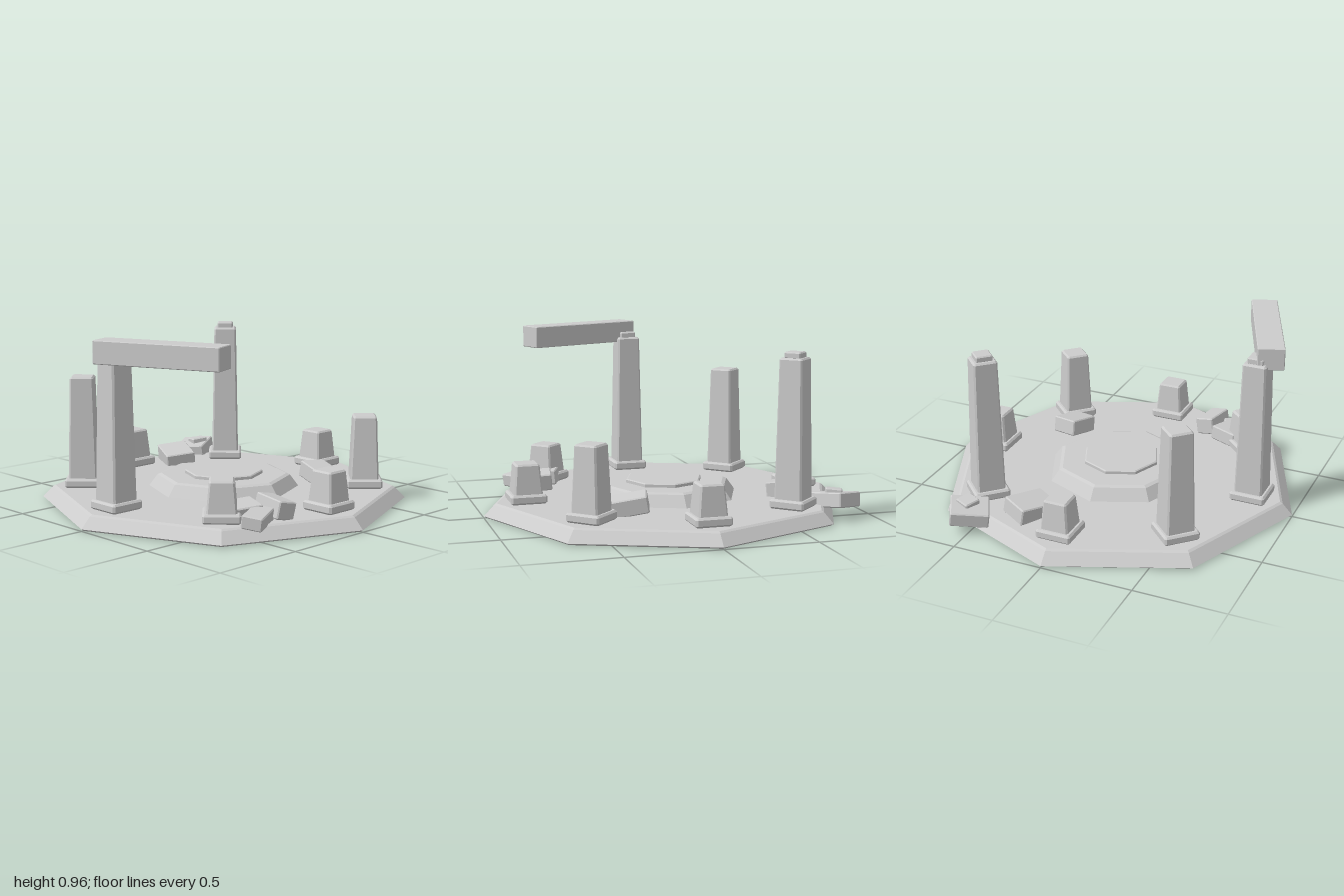
import * as THREE from 'three';

const stone = new THREE.MeshStandardMaterial({ color: 0xcccccc });
stone.name = 'grey stone';

// Skins a stack of rings (counter-clockwise from above, lowest first) and caps both ends
function loft(rings) {
  const out = [];
  const n = rings[0].length;
  const tri = (a, b, c) => out.push(...a, ...b, ...c);
  for (let r = 0; r < rings.length - 1; r++) {
    for (let i = 0; i < n; i++) {
      const j = (i + 1) % n;
      const lo = rings[r], hi = rings[r + 1];
      tri(lo[i], lo[j], hi[j]);
      tri(lo[i], hi[j], hi[i]);
    }
  }
  const bottom = rings[0], top = rings[rings.length - 1];
  for (let i = 1; i < n - 1; i++) {
    tri(top[0], top[i], top[i + 1]);
    tri(bottom[0], bottom[i + 1], bottom[i]);
  }
  const geometry = new THREE.BufferGeometry();
  geometry.setAttribute('position', new THREE.Float32BufferAttribute(out, 3));
  geometry.computeVertexNormals();
  return geometry;
}

// Rectangle with cut corners
function rectRing(w, d, y, cut) {
  const x = w / 2, z = d / 2, p = x - cut, q = z - cut;
  return [[-p, y, z], [p, y, z], [x, y, q], [x, y, -q],
    [p, y, -z], [-p, y, -z], [-x, y, -q], [-x, y, q]];
}

// Chamfered block standing on y = 0, tapering from (w, d) to (w1, d1)
function block(w, d, h, c = 0.008, w1 = w, d1 = d) {
  return loft([
    rectRing(w - 2 * c, d - 2 * c, 0, c * 0.4),
    rectRing(w, d, c, c),
    rectRing(w1, d1, h - c, c),
    rectRing(w1 - 2 * c, d1 - 2 * c, h, c * 0.4),
  ]);
}

// Eight-sided slab from [radius, height] pairs
function octagon(profile) {
  return loft(profile.map(([r, y]) => Array.from({ length: 8 }, (_, i) => {
    const a = i * Math.PI / 4;
    return [r * Math.sin(a), y, r * Math.cos(a)];
  })));
}

function add(parent, name, geometry, x = 0, y = 0, z = 0) {
  const mesh = new THREE.Mesh(geometry, stone);
  mesh.name = name;
  mesh.position.set(x, y, z);
  parent.add(mesh);
  return mesh;
}

export function createModel() {
  const model = new THREE.Group();
  model.name = 'ruinedStoneCircle';

  // Floor and stepped centre
  add(model, 'floor', octagon([[0.985, 0], [1, 0.01], [0.945, 0.067], [0.93, 0.075]]));
  add(model, 'dais', octagon([[0.415, 0.07], [0.365, 0.137], [0.345, 0.145]]));
  add(model, 'daisTop', octagon([[0.215, 0.14], [0.215, 0.16], [0.208, 0.165]]));

  // Ring of pillars, starting at the front and turning toward +x: [top height, has cap]
  const pillars = [[0.287, 0], [0.472, 0], [0.287, 0], [0.867, 1],
    [0.287, 0], [0.685, 0], [0.867, 1], [0.287, 0]];
  pillars.forEach(([top, cap], i) => {
    const a = i * Math.PI / 4;
    const pillar = new THREE.Group();
    pillar.name = 'pillar' + (i + 1);
    pillar.position.set(0.77 * Math.sin(a), 0, 0.77 * Math.cos(a));
    pillar.rotation.y = a;
    add(pillar, 'pedestal', block(0.195, 0.195, 0.05, 0.01), 0, 0.077, 0);
    add(pillar, 'shaft', block(0.155, 0.155, top - 0.115, 0.009, 0.128, 0.128), 0, 0.115, 0);
    if (cap) add(pillar, 'cap', block(0.09, 0.09, 0.035, 0.006), 0, 0.862, 0);
    model.add(pillar);
  });

  // Surviving lintel
  add(model, 'lintel', block(0.142, 0.693, 0.12, 0.004), -0.72, 0.84, 0.297).rotation.y = 0.376;

  // Fallen stones: size, centre, then yaw, pitch and roll
  const rubble = [
    [0.17, 0.23, 0.09, 0.235, 0.112, -0.645, -0.48, 0.12, 0.1],
    [0.15, 0.19, 0.09, 0.44, 0.125, 0.315, -0.28, 0.18, -0.06],
    [0.205, 0.18, 0.08, 0.52, 0.097, -0.795, 0.5, -0.1, 0.12],
    [0.09, 0.09, 0.035, 0.535, 0.144, -0.78, -0.4, -0.08, 0.1],
    [0.16, 0.15, 0.08, -0.435, 0.115, 0.58, -0.32, 0.1, 0.06],
    [0.2, 0.11, 0.07, -0.46, 0.103, 0.71, 0.47, 0.12, 0.06],
    [0.108, 0.2, 0.095, -0.295, 0.127, 0.67, -0.16, 0.06, -0.2],
  ];
  rubble.forEach(([w, d, h, x, y, z, yaw, pitch, roll], i) => {
    const geometry = block(w, d, h, 0.006).translate(0, -h / 2, 0);
    const stoneMesh = add(model, 'fallenStone' + (i + 1), geometry, x, y, z);
    stoneMesh.rotation.set(pitch, yaw, roll, 'YXZ');
  });

  return model;
}
